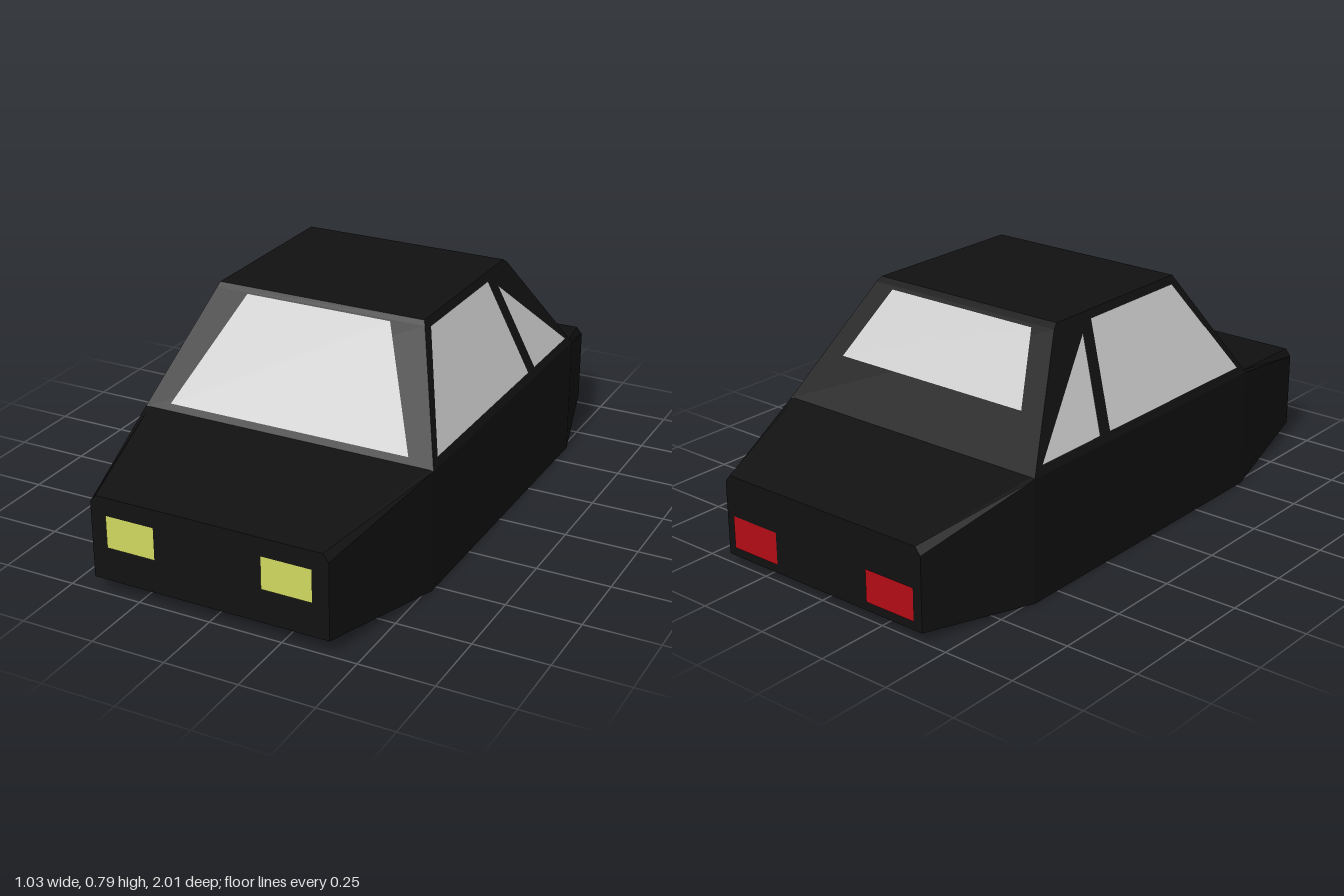
import * as THREE from 'three';

const paint = new THREE.MeshStandardMaterial({ color: 0x111111, flatShading: true });
const glass = new THREE.MeshStandardMaterial({ color: 0xcccccc });
const headlight = new THREE.MeshStandardMaterial({ color: 0xd0d75f });
const taillight = new THREE.MeshStandardMaterial({ color: 0xb50c16 });

function meshFrom(name, positions, material) {
  const geometry = new THREE.BufferGeometry();
  geometry.setAttribute('position', new THREE.Float32BufferAttribute(positions, 3));
  geometry.computeVertexNormals();
  const mesh = new THREE.Mesh(geometry, material);
  mesh.name = name;
  return mesh;
}

// Faceted, capped skin over rings that run anticlockwise about the direction of travel
function loft(name, rings, material) {
  const out = [];
  const tri = (a, b, c) => out.push(...a, ...b, ...c);
  const n = rings[0].length;
  for (let r = 0; r < rings.length - 1; r++) {
    const a = rings[r], b = rings[r + 1];
    for (let i = 0; i < n; i++) {
      const j = (i + 1) % n;
      tri(a[i], a[j], b[j]);
      tri(a[i], b[j], b[i]);
    }
  }
  const first = rings[0], last = rings[rings.length - 1];
  for (let i = 1; i < n - 1; i++) {
    tri(first[0], first[i + 1], first[i]);
    tri(last[0], last[i], last[i + 1]);
  }
  return meshFrom(name, out, material);
}

// Thin flat panel lifted just clear of the surface it lies on
function panel(name, corners, material) {
  const p = corners.map((c) => new THREE.Vector3(...c));
  const normal = new THREE.Triangle(p[0], p[1], p[2]).getNormal(new THREE.Vector3());
  p.forEach((v) => v.addScaledVector(normal, 0.003));
  const out = [];
  for (let i = 1; i < p.length - 1; i++) {
    for (const v of [p[0], p[i], p[i + 1]]) out.push(v.x, v.y, v.z);
  }
  return meshFrom(name, out, material);
}

const mirrored = (corners) => corners.map(([x, y, z]) => [-x, y, z]).reverse();

export function createModel() {
  const car = new THREE.Group();
  car.name = 'car';

  // Lower body: z, half width, floor, shoulder height, deck half width, deck height
  const stations = [
    [-1, 0.41, 0.03, 0.28, 0.39, 0.305],
    [-0.61, 0.515, 0, 0.413, 0.5, 0.415],
    [0.53, 0.515, 0, 0.413, 0.5, 0.415],
    [1, 0.41, 0.05, 0.31, 0.39, 0.335],
  ];
  car.add(loft('body', stations.map(([z, w, floor, shoulder, deckW, deck]) => [
    [-w, floor, z], [w, floor, z], [w, shoulder, z],
    [deckW, deck, z], [-deckW, deck, z], [-w, shoulder, z],
  ]), paint));

  // Cabin: height, half width, front z, rear z
  const levels = [
    [0.413, 0.515, 0.53, -0.61],
    [0.775, 0.371, 0.3, -0.34],
    [0.79, 0.365, 0.29, -0.32],
  ];
  car.add(loft('cabin', levels.map(([y, w, front, rear]) => [
    [w, y, front], [w, y, rear], [-w, y, rear], [-w, y, front],
  ]), paint));

  // Cabin surface positions at a given height
  const along = (y, k) => THREE.MathUtils.mapLinear(y, levels[0][0], levels[1][0], levels[0][k], levels[1][k]);
  const side = (y, z) => [along(y, 1), y, z];
  const front = (x, y) => [x, y, along(y, 2)];
  const rear = (x, y) => [x, y, along(y, 3)];

  // Windscreen and rear window
  car.add(panel('windscreen', [
    front(-0.425, 0.435), front(0.425, 0.435), front(0.255, 0.77), front(-0.255, 0.77),
  ], glass));
  car.add(panel('rearWindow', [
    rear(0.375, 0.56), rear(-0.375, 0.56), rear(-0.29, 0.765), rear(0.29, 0.765),
  ], glass));

  // Side windows and lamps, in mirrored pairs
  const pairs = [
    ['SideWindow', [side(0.44, 0.485), side(0.44, -0.23), side(0.765, -0.165), side(0.765, 0.27)], glass],
    ['QuarterWindow', [side(0.44, -0.28), side(0.44, -0.565), side(0.735, -0.22)], glass],
    ['Headlight', [[0.185, 0.165, 1], [0.355, 0.165, 1], [0.355, 0.275, 1], [0.185, 0.275, 1]], headlight],
    ['Taillight', [[0.38, 0.06, -1], [0.19, 0.06, -1], [0.19, 0.17, -1], [0.38, 0.17, -1]], taillight],
  ];
  for (const [name, corners, material] of pairs) {
    car.add(panel('left' + name, corners, material));
    car.add(panel('right' + name, mirrored(corners), material));
  }
  return car;
}
